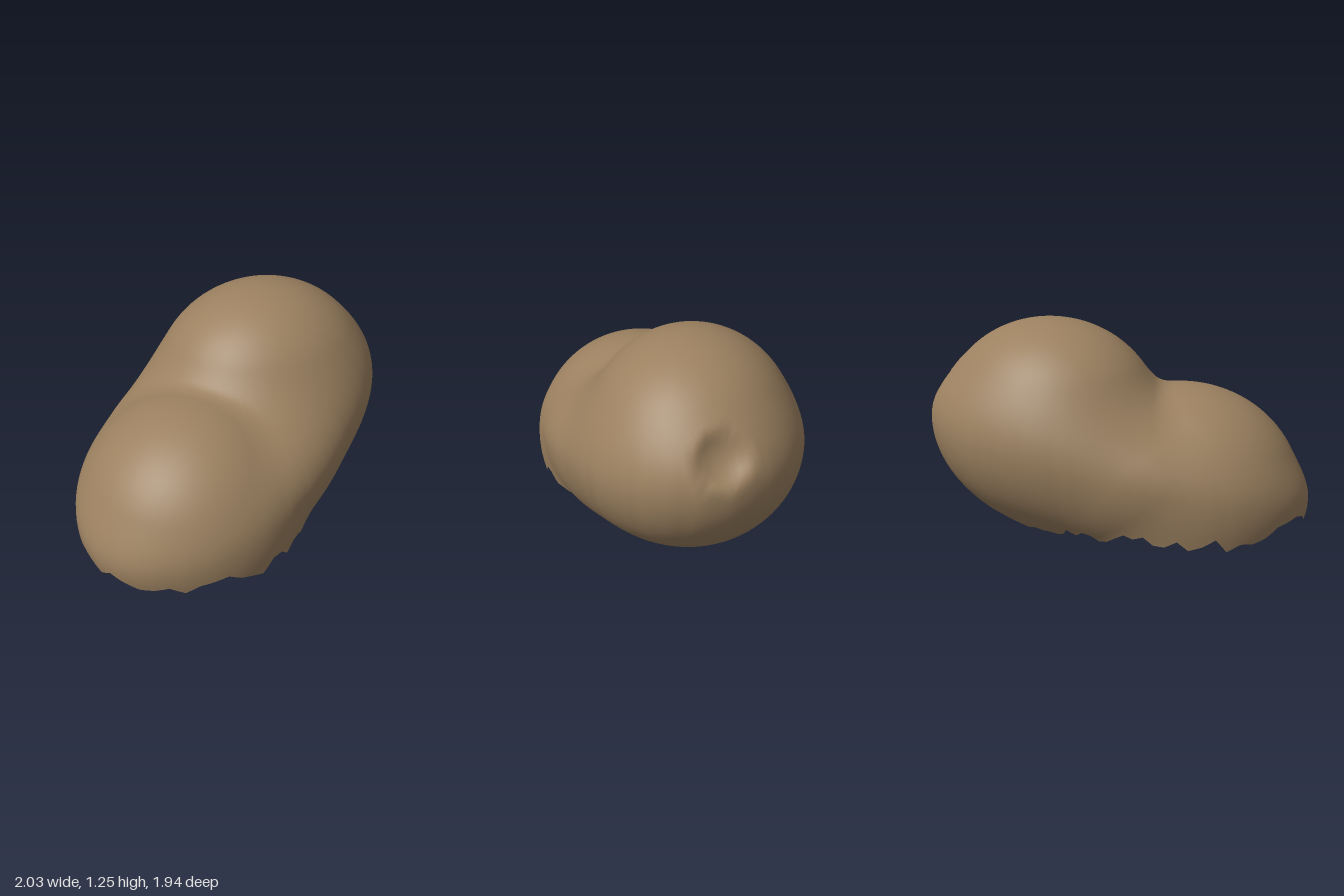
import * as THREE from 'three';

const skin = new THREE.MeshStandardMaterial({ color: 0x9c8160, side: THREE.DoubleSide });
skin.name = 'tan skin';

const COLS = 160, ROWS = 60, RIM_Y = 0.055;

// Seeded random numbers for the torn rim
function seeded(seed) {
  return () => {
    seed = (seed * 16807) % 2147483647;
    return seed / 2147483647;
  };
}

const smin = (a, b, k) => {
  const h = Math.max(k - Math.abs(a - b), 0) / k;
  return Math.min(a, b) - h * h * k * 0.25;
};

// Ellipsoids: heading turns the long axis from +x towards -z, slope lifts it along its length
const trunk = { x: -0.032, y: 0.4, z: 0.01, heading: 42, slope: 0.21, long: 1.125, wide: 0.722, up: 0.46, down: 0.63 };
const frontLobe = { x: -0.28, y: 0.17, z: 0.25, heading: 42, slope: 0, long: 0.74, wide: 0.68, up: 0.68, down: 0.7 };
const rearLobe = { x: 0.285, y: 0.625, z: -0.305, heading: 18, slope: 0, long: 0.695, wide: 0.615, up: 0.62, down: 0.6 };

function ellipsoid(e, p) {
  const a = THREE.MathUtils.degToRad(e.heading);
  const x = p.x - e.x, z = p.z - e.z;
  const d = x * Math.cos(a) - z * Math.sin(a), s = x * Math.sin(a) + z * Math.cos(a);
  const y = p.y - e.y - e.slope * d;
  return Math.hypot(d / e.long, s / e.wide, y / (y > 0 ? e.up : e.down)) - 1;
}

// Shallow round hollow at the rear end
const hollowNormal = new THREE.Vector3(0.75, 0.35, -0.6).normalize();
const hollowCentre = new THREE.Vector3(0.82, 0.86, -0.70).addScaledVector(hollowNormal, 0.2);

// Negative inside the body: the rear lobe melts into the trunk, the front lobe meets it at a crease
function field(p) {
  const rear = smin(ellipsoid(trunk, p), ellipsoid(rearLobe, p), 0.3);
  const body = smin(rear, ellipsoid(frontLobe, p), 0.08);
  const cut = (0.265 - p.distanceTo(hollowCentre)) / 0.7;
  return -smin(-body, -cut, 0.03);
}

// Surface point along a ray from the middle of the opening
function surfacePoint(azimuth, elevation) {
  const dir = new THREE.Vector3(
    Math.cos(azimuth) * Math.cos(elevation), Math.sin(elevation), Math.sin(azimuth) * Math.cos(elevation));
  const p = new THREE.Vector3();
  let lo = 0, hi = 2;
  for (let i = 0; i < 26; i++) {
    const mid = (lo + hi) / 2;
    p.copy(dir).multiplyScalar(mid);
    p.y += RIM_Y;
    if (field(p) < 0) lo = mid; else hi = mid;
  }
  return p;
}

function shellGeometry() {
  const random = seeded(417);
  const knots = Array.from({ length: COLS / 2 }, () => (random() - 0.5) * 0.13);
  const positions = [], index = [];
  for (let r = 0; r < ROWS; r++) {
    for (let c = 0; c < COLS; c++) {
      const k = c >> 1;
      const jag = c % 2 ? (knots[k] + knots[(k + 1) % knots.length]) / 2 : knots[k];
      const elevation = THREE.MathUtils.lerp(Math.atan(jag), Math.PI / 2, r / ROWS);
      positions.push(...surfacePoint((c / COLS) * Math.PI * 2, elevation).toArray());
    }
  }
  positions.push(...surfacePoint(0, Math.PI / 2).toArray());
  const pole = ROWS * COLS;
  for (let r = 0; r < ROWS; r++) {
    for (let c = 0; c < COLS; c++) {
      const a = r * COLS + c, b = r * COLS + (c + 1) % COLS;
      if (r === ROWS - 1) index.push(a, pole, b);
      else index.push(a, a + COLS, b, b, a + COLS, b + COLS);
    }
  }
  const geo = new THREE.BufferGeometry();
  geo.setAttribute('position', new THREE.Float32BufferAttribute(positions, 3));
  geo.setIndex(index);
  geo.computeVertexNormals();
  return geo;
}

export function createModel() {
  const group = new THREE.Group();
  group.name = 'hollowTwoLobedShell';
  const shell = new THREE.Mesh(shellGeometry(), skin);
  shell.name = 'shell';
  group.add(shell);
  return group;
}
